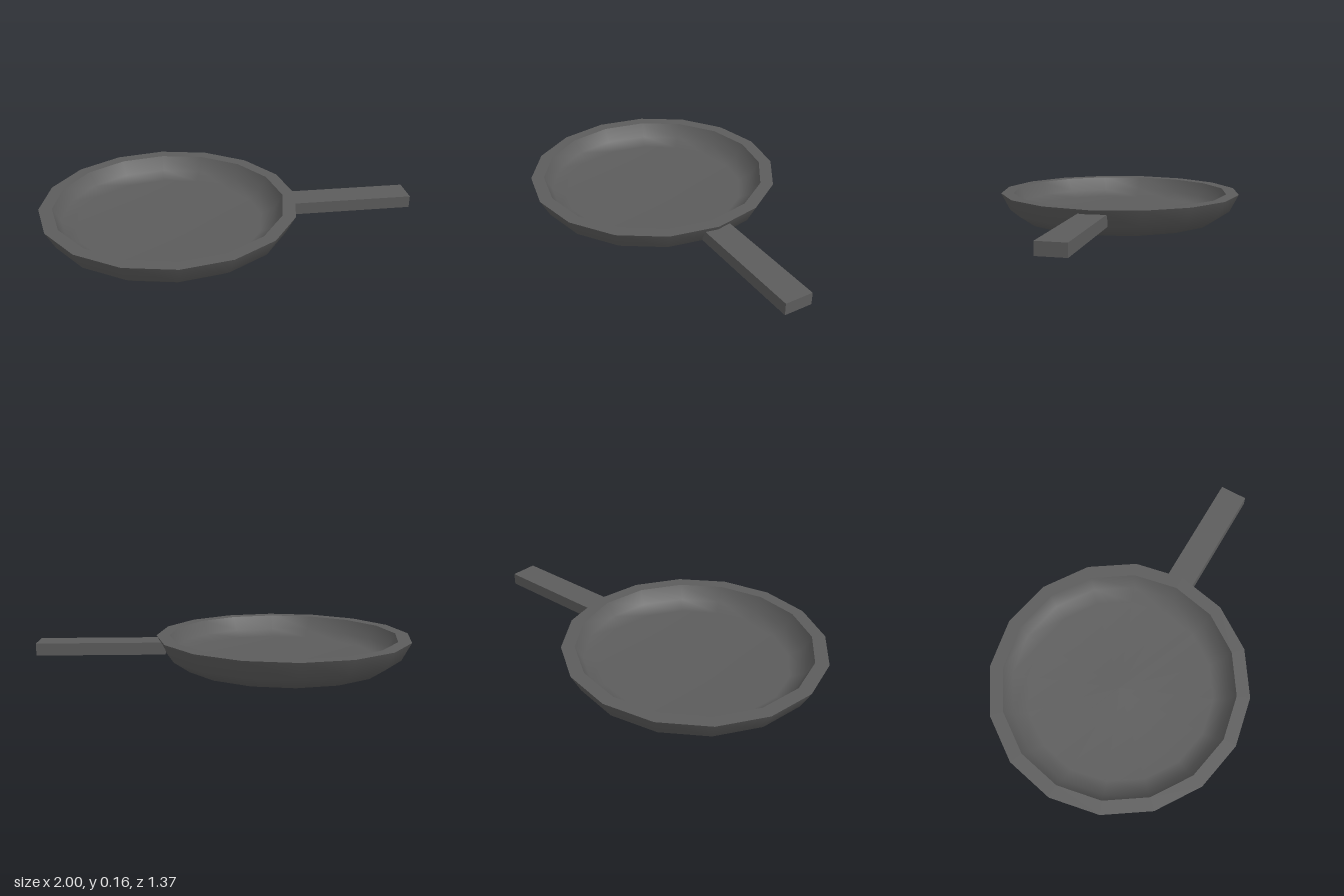
import * as THREE from 'three';

export function createModel() {
  const model = new THREE.Group();
  const material = new THREE.MeshStandardMaterial({ color: 0x5c5c5c });

  // Pan: three turned bands, smooth within each and creased at the rim edges
  const pan = new THREE.Group();
  pan.name = 'pan';
  pan.position.x = -0.315;
  const bands = {
    panOutside: [[0, 0], [0.55, 0], [0.635, 0.058], [0.685, 0.155]],
    panRim: [[0.685, 0.155], [0.615, 0.155]],
    panInside: [[0.615, 0.155], [0.575, 0.08], [0.5, 0.045], [0, 0.045]],
  };
  for (const [name, profile] of Object.entries(bands)) {
    const points = profile.map(([r, y]) => new THREE.Vector2(r, y));
    const band = new THREE.Mesh(new THREE.LatheGeometry(points, 16), material);
    band.name = name;
    pan.add(band);
  }
  model.add(pan);

  // Handle: a plain bar tucked into the side wall
  const handle = new THREE.Mesh(new THREE.BoxGeometry(0.68, 0.065, 0.15), material);
  handle.name = 'handle';
  handle.position.set(0.66, 0.0985, -0.008);
  model.add(handle);

  return model;
}
